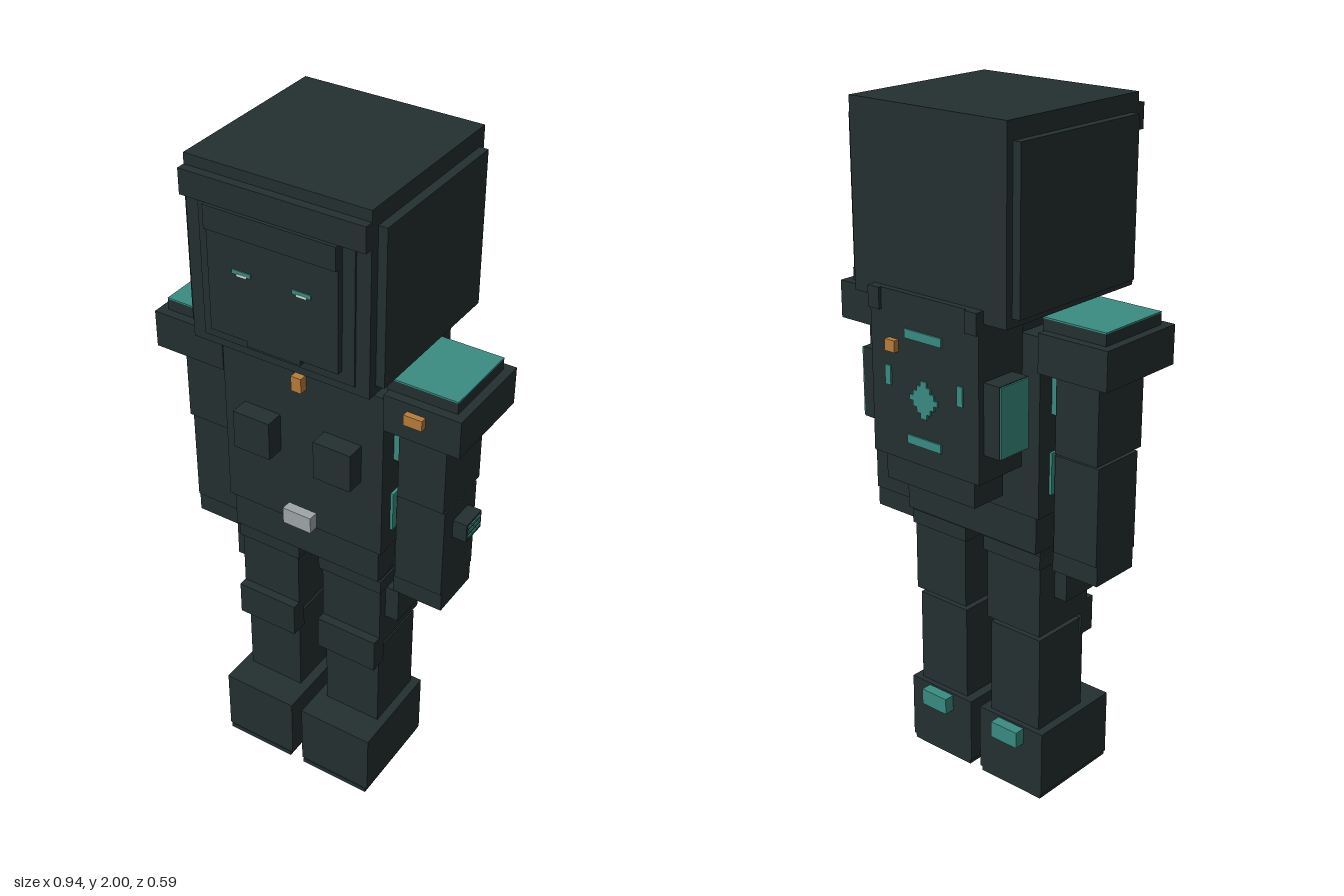
import * as THREE from 'three';

const mat = (name, color) => {
  const m = new THREE.MeshStandardMaterial({ color });
  m.name = name;
  return m;
};

export function createModel() {
  const dark = mat('dark armour', 0x243030);
  const teal = mat('teal glow', 0x3a8c82);
  const orange = mat('orange tag', 0xb87d3a);
  const silver = mat('silver buckle', 0xa0a6a8);
  const white = mat('eye white', 0xd8e4e2);

  const root = new THREE.Group();
  root.name = 'armouredFigure';
  const group = (name) => {
    const g = new THREE.Group();
    g.name = name;
    root.add(g);
    return g;
  };
  // Box given by its extents on each axis
  const box = (g, name, m, [x0, x1], [y0, y1], [z0, z1]) => {
    const mesh = new THREE.Mesh(new THREE.BoxGeometry(x1 - x0, y1 - y0, z1 - z0), m);
    mesh.position.set((x0 + x1) / 2, (y0 + y1) / 2, (z0 + z1) / 2);
    mesh.name = name;
    g.add(mesh);
  };
  // Box centred on x = 0
  const mid = (g, name, m, w, y, z) => box(g, name, m, [-w, w], y, z);
  // Box on the given side
  const sided = (g, s, name, m, [a, b], y, z) =>
    box(g, name, m, s > 0 ? [a, b] : [-b, -a], y, z);

  // Head
  const head = group('head');
  mid(head, 'helmetCore', dark, 0.265, [1.485, 2], [-0.262, 0.26]);
  mid(head, 'helmetSides', dark, 0.29, [1.51, 1.95], [-0.24, 0.232]);
  mid(head, 'foreheadBand', dark, 0.265, [1.9, 1.97], [0.25, 0.285]);
  mid(head, 'cheekPlate', dark, 0.225, [1.51, 1.9], [0.25, 0.266]);
  mid(head, 'facePlate', dark, 0.19, [1.545, 1.9], [0.25, 0.285]);
  mid(head, 'chin', dark, 0.08, [1.53, 1.545], [0.25, 0.285]);
  mid(head, 'brow', dark, 0.19, [1.835, 1.9], [0.28, 0.295]);
  for (const s of [1, -1]) {
    sided(head, s, 'eye', teal, [0.06, 0.115], [1.731, 1.743], [0.283, 0.288]);
    sided(head, s, 'eyeShine', white, [0.072, 0.102], [1.727, 1.734], [0.284, 0.289]);
  }

  // Neck and torso
  const torso = group('torso');
  mid(torso, 'neck', dark, 0.13, [1.4, 1.5], [-0.05, 0.1]);
  mid(torso, 'collar', dark, 0.185, [1.4, 1.47], [-0.1, 0.145]);
  mid(torso, 'chest', dark, 0.25, [0.91, 1.425], [-0.11, 0.165]);
  mid(torso, 'hips', dark, 0.238, [0.8, 0.91], [-0.105, 0.157]);
  mid(torso, 'crotch', dark, 0.03, [0.785, 0.8], [-0.07, 0.12]);
  box(torso, 'chestTag', orange, [-0.016, 0.015], [1.365, 1.41], [0.16, 0.19]);
  box(torso, 'buckle', silver, [-0.048, 0.042], [0.912, 0.963], [0.16, 0.195]);

  // Backpack
  const pack = group('backpack');
  const back = -0.281;
  mid(pack, 'packBody', dark, 0.19, [1.05, 1.46], [back, -0.11]);
  mid(pack, 'packTop', dark, 0.19, [1.46, 1.52], [back, -0.15]);
  mid(pack, 'bedroll', dark, 0.16, [0.97, 1.05], [-0.265, -0.15]);
  box(pack, 'packTag', orange, [0.09, 0.125], [1.355, 1.388], [-0.298, back]);
  const glow = [back - 0.005, back + 0.002];
  mid(pack, 'glowBarTop', teal, 0.065, [1.4, 1.425], glow);
  mid(pack, 'glowBarBottom', teal, 0.06, [1.105, 1.13], glow);
  // Stepped diamond emblem
  for (let i = -3; i <= 3; i++) {
    const y = 1.24 + i * 0.015;
    mid(pack, 'glowDiamond', teal, 0.05 - Math.abs(i) * 0.013, [y - 0.0075, y + 0.0075], glow);
  }

  for (const s of [1, -1]) {
    const left = s > 0 ? 'left' : 'right';

    // Chest pouch, torso glow strips and backpack side pods
    sided(torso, s, 'chestPouch', dark, [0.07, 0.185], [1.135, 1.252], [0.16, 0.22]);
    sided(torso, s, 'upperSideGlow', teal, [0.245, 0.275], [1.2, 1.31], [-0.06, 0.11]);
    sided(torso, s, 'lowerSideGlow', teal, [0.245, 0.258], [0.97, 1.092], [-0.066, 0.12]);
    sided(pack, s, 'packPost', dark, [0.15, 0.19], [1.46, 1.52], [-0.29, -0.2]);
    sided(pack, s, 'sidePod', dark, [0.18, 0.243], [1.13, 1.33], [-0.262, -0.15]);
    sided(pack, s, 'podPanel', teal, [0.242, 0.248], [1.132, 1.328], [-0.26, -0.152]);
    sided(pack, s, 'glowSide', teal, [0.118, 0.138], [1.255, 1.31], glow);

    // Arm
    const arm = group(left + 'Arm');
    sided(arm, s, 'shoulderPad', dark, [0.25, 0.472], [1.33, 1.44], [-0.12, 0.168]);
    sided(arm, s, 'shoulderCap', dark, [0.245, 0.447], [1.42, 1.472], [-0.094, 0.141]);
    sided(arm, s, 'shoulderPanel', teal, [0.245, 0.447], [1.472, 1.476], [-0.094, 0.141]);
    sided(arm, s, 'upperArm', dark, [0.272, 0.412], [1.095, 1.31], [-0.07, 0.122]);
    sided(arm, s, 'armCuff', dark, [0.252, 0.418], [1.31, 1.335], [-0.075, 0.126]);
    sided(arm, s, 'forearm', dark, [0.264, 0.41], [0.8, 1.086], [-0.06, 0.11]);
    sided(arm, s, 'hand', dark, [0.258, 0.41], [0.74, 0.91], [-0.055, 0.105]);

    // Leg
    const leg = group(left + 'Leg');
    sided(leg, s, 'thigh', dark, [0.042, 0.234], [0.53, 0.805], [-0.08, 0.135]);
    sided(leg, s, 'thighStrap', dark, [0.034, 0.239], [0.745, 0.788], [-0.088, 0.143]);
    sided(leg, s, 'holster', dark, [0.225, 0.276], [0.632, 0.742], [-0.015, 0.106]);
    sided(leg, s, 'kneePad', dark, [0.042, 0.234], [0.46, 0.567], [0.11, 0.162]);
    sided(leg, s, 'shin', dark, [0.048, 0.228], [0.2, 0.512], [-0.07, 0.126]);
    sided(leg, s, 'boot', dark, [0.018, 0.254], [0.015, 0.22], [-0.087, 0.22]);
    sided(leg, s, 'sole', dark, [0.024, 0.248], [0, 0.015], [-0.085, 0.222]);
    sided(leg, s, 'heelLight', teal, [0.09, 0.185], [0.163, 0.214], [-0.12, -0.08]);
  }

  // Shoulder tag and wrist device on the left arm only
  const gear = group('leftArmGear');
  box(gear, 'shoulderTag', orange, [0.318, 0.372], [1.385, 1.416], [0.16, 0.186]);
  box(gear, 'wristDevice', dark, [0.4, 0.452], [0.975, 1.032], [-0.018, 0.062]);
  for (let i = 0; i < 3; i++) {
    const y = 0.985 + i * 0.016;
    box(gear, 'wristScreenLine', teal, [0.45, 0.455], [y, y + 0.008], [-0.01, 0.054]);
  }

  return root;
}
